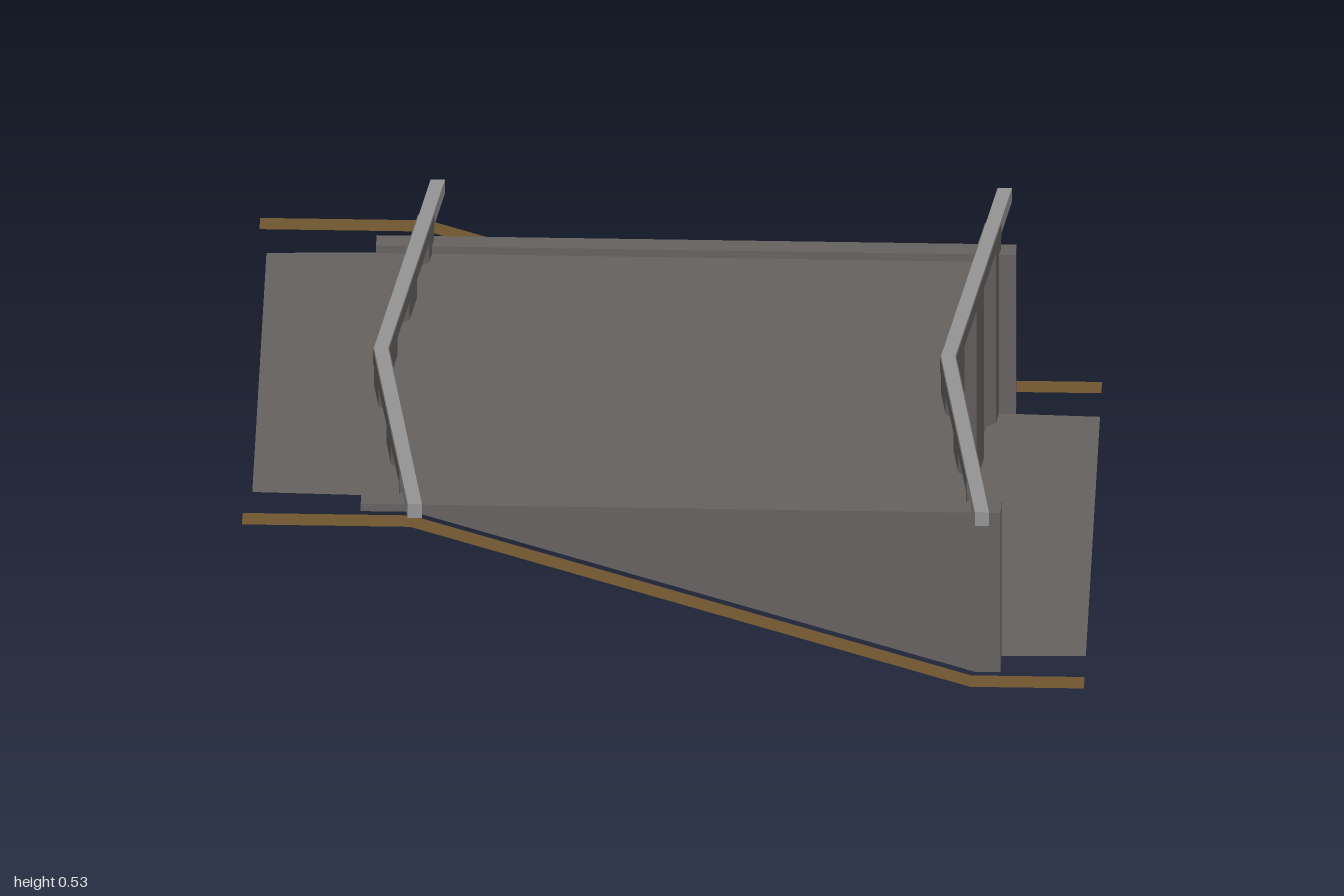
import * as THREE from 'three';

const mat = (name, color) => {
  const m = new THREE.MeshStandardMaterial({ color, side: THREE.DoubleSide });
  m.name = name;
  return m;
};

// Open surface spanning two polylines with the same number of points, flat per segment
function loft(a, b) {
  const pos = [];
  for (let i = 0; i < a.length - 1; i++) {
    pos.push(...a[i], ...b[i], ...b[i + 1], ...a[i], ...b[i + 1], ...a[i + 1]);
  }
  const g = new THREE.BufferGeometry();
  g.setAttribute('position', new THREE.Float32BufferAttribute(pos, 3));
  g.computeVertexNormals();
  return g;
}

// Plan outline given as [x, z] pairs
const planShape = (pts) => new THREE.Shape(pts.map(([x, z]) => new THREE.Vector2(x, -z)));

const KINK_Z = 0.03;
// x of the bent wall line at a given z
const bendX = (kinkX, z) => kinkX + Math.abs(z - KINK_Z) * 0.137;

export function createModel() {
  const group = new THREE.Group();
  const grey = mat('dark grey', 0x656260);
  const steel = mat('light grey', 0x949494);
  const brown = mat('brown', 0x705630);

  const add = (name, geometry, material) => {
    const mesh = new THREE.Mesh(geometry, material);
    mesh.name = name;
    group.add(mesh);
    return mesh;
  };

  // Flat horizontal surface
  const sheet = (name, pts, y) => {
    const g = new THREE.ShapeGeometry(planShape(pts));
    g.rotateX(-Math.PI / 2);
    g.translate(0, y, 0);
    add(name, g, grey);
  };

  // Bent beam following the wall line
  const bentBeam = (name, kinkX, halfW, z0, z1, y0, y1, material) => {
    const zs = [z0, KINK_Z, z1];
    const outline = [
      ...zs.map((z) => [bendX(kinkX, z) + halfW, z]),
      ...zs.reverse().map((z) => [bendX(kinkX, z) - halfW, z]),
    ];
    const g = new THREE.ExtrudeGeometry(planShape(outline), { depth: y1 - y0, bevelEnabled: false });
    g.rotateX(-Math.PI / 2);
    g.translate(0, y0, 0);
    add(name, g, material);
  };

  // Corrugated sheet piles along the wall line
  const piles = (name, kinkX, y0, y1) => {
    const bottom = [], top = [];
    const pitch = 0.1385, web = 0.035, amp = 0.019;
    let side = 1;
    const put = (z) => {
      const x = bendX(kinkX, z) + side * amp;
      bottom.push([x, y0, z]);
      top.push([x, y1, z]);
    };
    put(-0.613);
    for (let z = -0.54; z < 0.6; z += pitch) {
      put(z);
      side = -side;
      put(z + web);
    }
    put(0.613);
    add(name, loft(bottom, top), grey);
  };

  // Two bent walls: tall one at the step, shallow one at the upper bank
  const walls = [['lower', 0.657, 0.003], ['upper', -0.69, 0.445]];
  for (const [label, kinkX, base] of walls) {
    piles(label + 'SheetPiles', kinkX, base, 0.5);
    bentBeam(label + 'CapBeam', kinkX, 0.017, -0.78, 0.776, 0.497, 0.535, steel);
    bentBeam(label + 'CapFacing', kinkX, 0.0195, -0.613, 0.613, 0.496, 0.534, grey);
  }

  // Upper and lower ground surfaces, meeting the tall wall
  const stepLine = [-0.585, KINK_Z, 0.58].map((z) => [bendX(0.657, z), z]);
  sheet('upperGround', [
    [-0.98, 0.572], [-0.98, -0.575], [-0.7, -0.585], ...stepLine, [-0.7, 0.58],
  ], 0.445);
  sheet('lowerGround', [...stepLine, [1, 0.572], [1, -0.575]], 0.03);

  // Tapered side walls
  const profile = new THREE.Shape([
    [-0.72, 0.465], [-0.72, 0.445], [-0.595, 0.445], [0.74, 0.03], [0.8, 0.03], [0.8, 0.465],
  ].map(([x, y]) => new THREE.Vector2(x, y)));
  for (const [name, z0, z1] of [['frontSideWall', 0.598, 0.656], ['backSideWall', -0.632, -0.582]]) {
    const g = new THREE.ExtrudeGeometry(profile, { depth: z1 - z0, bevelEnabled: false });
    g.translate(0, 0, z0);
    add(name, g, grey);
  }

  // Brown edge strips running down the slope
  const path = [[-1, 0.445], [-0.6, 0.445], [0.73, 0.03], [1, 0.03]];
  for (const [name, z0, z1] of [['frontEdgeStrip', 0.673, 0.728], ['backEdgeStrip', -0.742, -0.688]]) {
    const edge = (z) => path.map(([x, y]) => [x, y, z]);
    add(name, loft(edge(z0), edge(z1)), brown);
  }

  return group;
}
